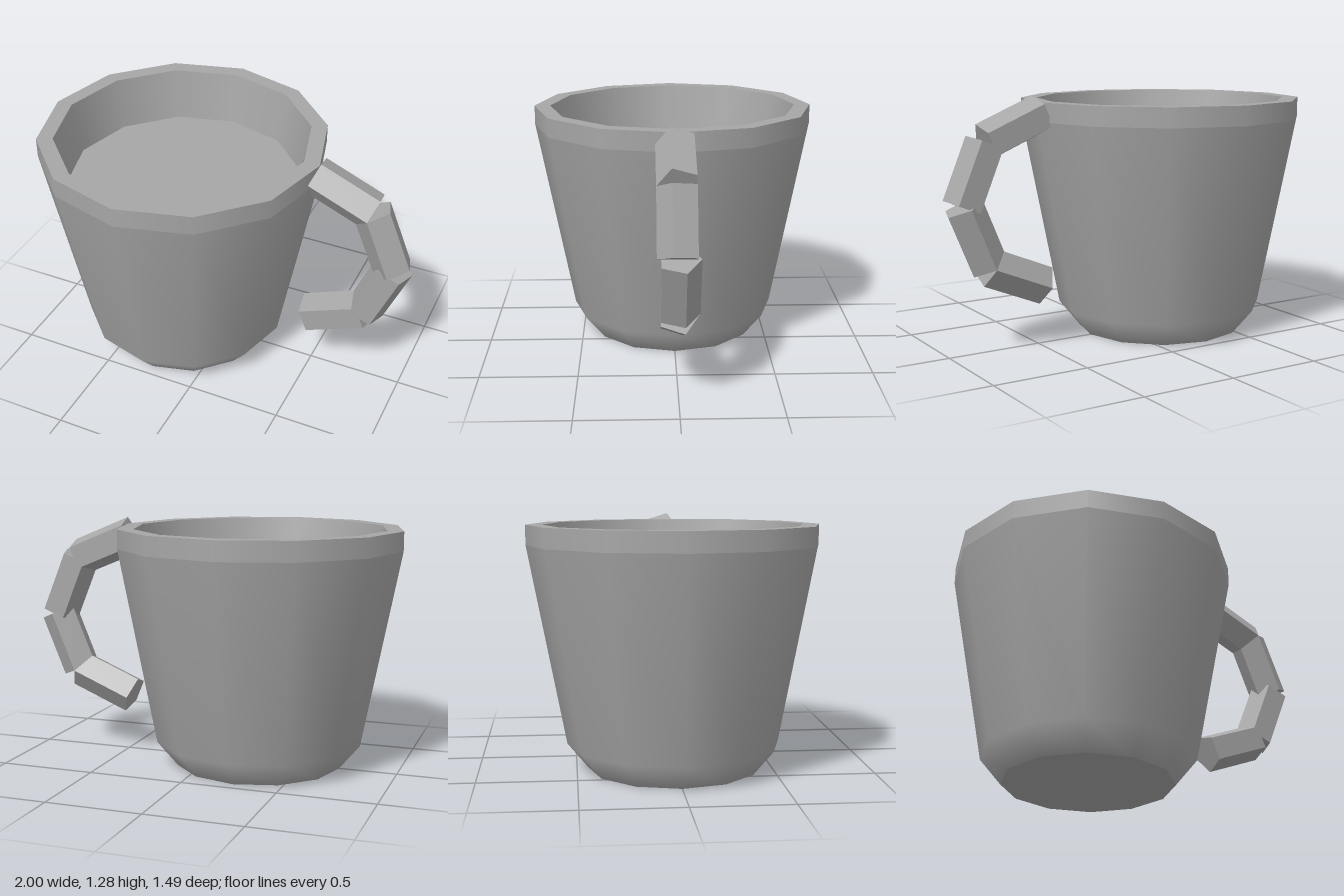
import * as THREE from 'three';

const grey = new THREE.MeshStandardMaterial({ color: 0xa6a6a6 });
grey.name = 'stoneware grey';
const greyFaceted = grey.clone();
greyFaceted.flatShading = true;

export function createModel() {
  const mug = new THREE.Group();
  mug.name = 'mug';

  // Cup: separate twelve-sided rings keep the edges between them crisp
  const cup = new THREE.Group();
  cup.name = 'cup';
  cup.position.x = -0.256;
  mug.add(cup);
  const rings = {
    base: [[0, 0], [0.44, 0]],
    outerWall: [[0.44, 0], [0.548, 0.13], [0.744, 1.15]],
    lipBand: [[0.744, 1.15], [0.744, 1.25]],
    rim: [[0.744, 1.25], [0.66, 1.25]],
    innerWall: [[0.66, 1.25], [0.612, 0.98]],
    drinkSurface: [[0.612, 0.98], [0, 0.98]],
  };
  for (const [name, profile] of Object.entries(rings)) {
    const points = profile.map(([r, y]) => new THREE.Vector2(r, y));
    const ring = new THREE.Mesh(new THREE.LatheGeometry(points, 12), grey);
    ring.name = name;
    cup.add(ring);
  }

  // Handle: two pentagonal bars per half; the lower half is the upper one
  // turned half a circle about the x direction
  const path = [[0.468, 1.19], [0.779, 1.061], [0.908, 0.75]];
  const handleHalf = (name) => {
    const half = new THREE.Group();
    half.name = name;
    for (let i = 0; i < 2; i++) {
      const [x0, y0] = path[i];
      const [x1, y1] = path[i + 1];
      const length = Math.hypot(x1 - x0, y1 - y0);
      const bar = new THREE.Mesh(new THREE.CylinderGeometry(0.104, 0.104, length, 5), greyFaceted);
      bar.name = 'handleBar';
      bar.position.set((x0 + x1) / 2, (y0 + y1) / 2, 0);
      bar.rotation.z = Math.atan2(x0 - x1, y1 - y0);
      half.add(bar);
    }
    mug.add(half);
    return half;
  };
  handleHalf('upperHandle');
  const lower = handleHalf('lowerHandle');
  lower.rotation.x = Math.PI;
  lower.position.y = 1.5;

  return mug;
}
